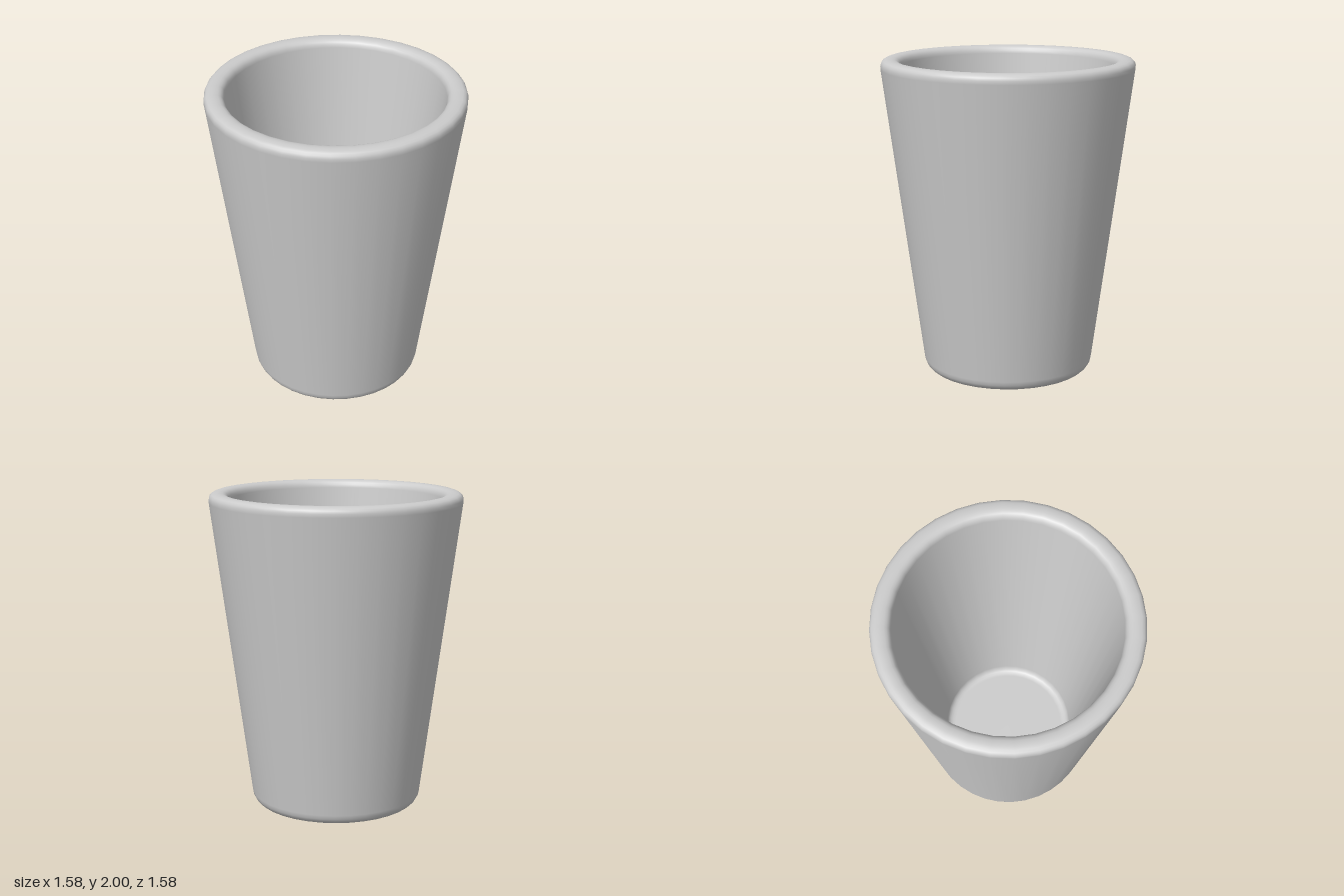
import * as THREE from 'three';

// Closed wall profile with every corner rounded by a short curve
function roundedProfile(corners, start, end) {
  const points = [start];
  corners.forEach(([x, y, radius], i) => {
    const corner = new THREE.Vector2(x, y);
    const before = i ? new THREE.Vector2(...corners[i - 1]) : start;
    const after = i < corners.length - 1 ? new THREE.Vector2(...corners[i + 1]) : end;
    const a = before.clone().sub(corner).setLength(radius).add(corner);
    const b = after.clone().sub(corner).setLength(radius).add(corner);
    points.push(...new THREE.QuadraticBezierCurve(a, corner, b).getPoints(5));
  });
  points.push(end);
  return points;
}

export function createModel() {
  const group = new THREE.Group();
  group.name = 'cup';

  // Corners: outer base, outer rim, inner rim, inner floor (radius, height, rounding)
  const profile = roundedProfile(
    [
      [0.535, 0, 0.07],
      [0.797, 2, 0.06],
      [0.672, 2, 0.05],
      [0.42, 0.12, 0.05],
    ],
    new THREE.Vector2(0, 0),
    new THREE.Vector2(0, 0.12),
  );

  // Tapered body, hollow with a thick wall and floor
  const body = new THREE.Mesh(
    new THREE.LatheGeometry(profile, 36),
    new THREE.MeshStandardMaterial({ color: 0xcccccc }),
  );
  body.name = 'cupBody';
  group.add(body);
  return group;
}
